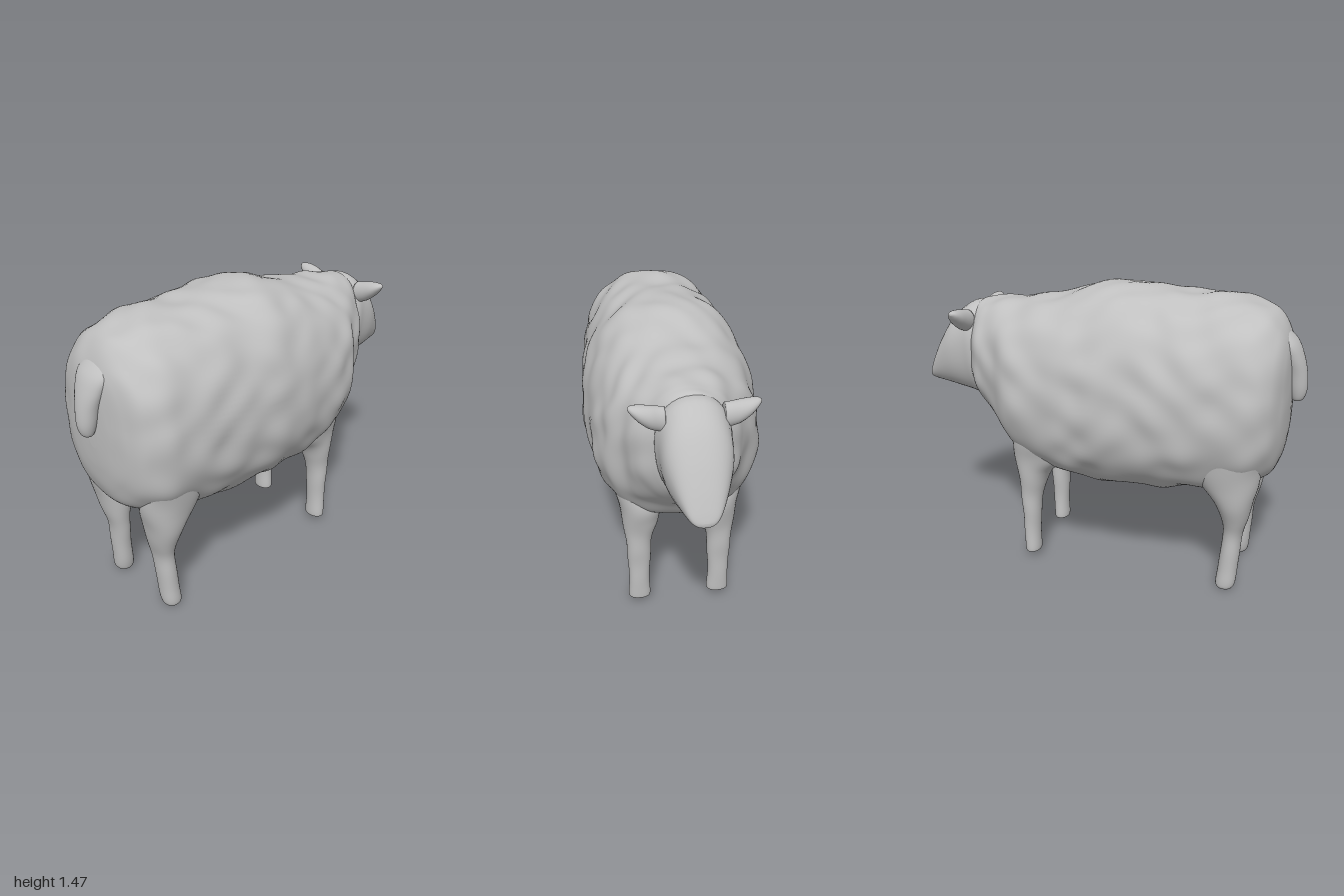
import * as THREE from 'three';

const wool = new THREE.MeshStandardMaterial({ color: 0xc0c0c0 });
wool.name = 'pale grey';

// Catmull-Rom interpolation of rows of numbers
function sample(keys, t) {
  const n = keys.length - 1, i = Math.min(Math.floor(t * n), n - 1), f = t * n - i;
  const at = (k) => keys[Math.max(0, Math.min(n, k))];
  const [a, b, c, d] = [at(i - 1), at(i), at(i + 1), at(i + 2)];
  return b.map((v, k) => v + 0.5 * f * (c[k] - a[k]
    + f * (2 * a[k] - 5 * v + 4 * c[k] - d[k] + f * (3 * (v - c[k]) + d[k] - a[k]))));
}

// Soft round fleece clumps
function clumps(x, y, z) {
  const s = Math.sin;
  return 0.5 * s(x * 19 + 1.4 * s(y * 9) + 0.5) * s(y * 22 + 1.3 * s(x * 7) + 0.6)
    + 0.5 * s(x * 21 + 1.4 * s(z * 10 + 1)) * s(z * 20 + 1.2 * s(x * 8) + 1.4)
    + 0.25 * s(y * 29 + 1.2 * s(x * 13 + 2)) * s(z * 27 + 1.5 * s(x * 11));
}

// Skin over cross-sections. Each key: [position on axis, u min, u max, v min, v max]
// where (u, v) is (z, y) for axis x, (x, z) for axis y and (y, x) for axis z.
function loft(keys, { axis, rings = 40, sides = 32, power = 2, egg = 0, bump = 0, mirror = false }) {
  const pos = [], index = [], flip = mirror ? -1 : 1;
  const place = { x: (a, u, v) => [a, v, u], y: (a, u, v) => [u, a, v], z: (a, u, v) => [v, u, a] }[axis];
  const add = (a, u, v) => {
    const p = place(a, u, v);
    pos.push(p[0], p[1], p[2] * flip);
  };
  const tri = (a, b, c) => (mirror ? index.push(a, c, b) : index.push(a, b, c));
  const bend = (c) => Math.sign(c) * Math.abs(c) ** (2 / power);
  for (let i = 0; i <= rings; i++) {
    const [a, u0, u1, v0, v1] = sample(keys, i / rings);
    for (let j = 0; j < sides; j++) {
      const angle = (j / sides) * Math.PI * 2;
      const c = bend(Math.cos(angle)), s = bend(Math.sin(angle));
      let du = c * (u1 - u0) / 2 * (1 + egg * s), dv = s * (v1 - v0) / 2;
      const u = (u0 + u1) / 2, v = (v0 + v1) / 2, r = Math.hypot(du, dv) || 1;
      const k = 1 + bump * clumps(...place(a, u + du, v + dv)) / Math.max(r, 0.05);
      du *= k;
      dv *= k;
      add(a, u + du, v + dv);
    }
  }
  for (let i = 0; i < rings; i++) {
    for (let j = 0; j < sides; j++) {
      const a = i * sides + j, b = i * sides + (j + 1) % sides;
      tri(a, a + sides, b);
      tri(b, a + sides, b + sides);
    }
  }
  // end caps
  const first = (rings + 1) * sides, last = rings * sides;
  for (const k of [keys[0], keys[keys.length - 1]]) add(k[0], (k[1] + k[2]) / 2, (k[3] + k[4]) / 2);
  for (let j = 0; j < sides; j++) {
    const n = (j + 1) % sides;
    tri(first, j, n);
    tri(first + 1, last + n, last + j);
  }
  const g = new THREE.BufferGeometry();
  g.setAttribute('position', new THREE.Float32BufferAttribute(pos, 3));
  g.setIndex(index);
  g.computeVertexNormals();
  return g;
}

export function createModel() {
  const sheep = new THREE.Group();
  sheep.name = 'sheep';
  const part = (name, keys, options) => {
    const mesh = new THREE.Mesh(loft(keys, options), wool);
    mesh.name = name;
    sheep.add(mesh);
  };
  // symmetric section along x: position, half width, bottom, top
  const even = ([x, w, y0, y1]) => [x, -w, w, y0, y1];

  // fleece from rump to neck
  part('fleece', [
    [-0.934, 0.03, 0.9, 1.05], [-0.927, 0.12, 0.78, 1.17], [-0.908, 0.22, 0.68, 1.27], [-0.865, 0.31, 0.6, 1.355],
    [-0.77, 0.365, 0.54, 1.42], [-0.6, 0.387, 0.5, 1.45], [-0.35, 0.412, 0.47, 1.455], [-0.1, 0.423, 0.46, 1.475],
    [0.1, 0.415, 0.475, 1.435], [0.28, 0.393, 0.51, 1.39], [0.41, 0.355, 0.57, 1.37], [0.5, 0.29, 0.67, 1.36],
    [0.58, 0.25, 0.745, 1.345], [0.63, 0.22, 0.785, 1.34], [0.67, 0.175, 0.82, 1.335], [0.7, 0.14, 0.85, 1.31],
  ].map(even), { axis: 'x', rings: 180, sides: 128, power: 2.3, egg: -0.05, bump: 0.012 });

  // head, wide at the brow and blunt at the muzzle
  part('head', [
    [0.64, 0.155, 0.835, 1.325], [0.69, 0.165, 0.825, 1.33], [0.74, 0.157, 0.837, 1.315], [0.82, 0.147, 0.853, 1.25],
    [0.89, 0.12, 0.865, 1.15], [0.945, 0.09, 0.873, 1.045], [0.98, 0.064, 0.88, 0.965],
    [0.995, 0.04, 0.886, 0.925], [1.0, 0.012, 0.897, 0.909],
  ].map(even), { axis: 'x', rings: 48, sides: 40, power: 2.2, egg: 0.12 });

  // drooping tail, broad where it leaves the rump
  part('tail', [
    [0.96, -0.958, -0.946, -0.008, 0.008], [0.97, -0.985, -0.93, -0.03, 0.03], [1.02, -1.0, -0.91, -0.047, 0.047],
    [1.1, -0.995, -0.89, -0.062, 0.062], [1.18, -0.975, -0.87, -0.085, 0.085], [1.25, -0.942, -0.84, -0.1, 0.1],
    [1.31, -0.88, -0.82, -0.07, 0.07],
  ], { axis: 'y', rings: 30, sides: 32 });

  for (const mirror of [false, true]) {
    // legs flare upwards and sink gently into the flanks
    part('frontLeg', [
      [0.027, 0.325, 0.36, 0.175, 0.23], [0.032, 0.309, 0.374, 0.156, 0.25], [0.055, 0.3, 0.383, 0.147, 0.259],
      [0.2, 0.3, 0.39, 0.148, 0.258], [0.33, 0.29, 0.395, 0.142, 0.262], [0.42, 0.272, 0.405, 0.13, 0.272],
      [0.51, 0.225, 0.42, 0.1, 0.285], [0.59, 0.14, 0.432, 0.08, 0.302], [0.67, 0.13, 0.428, 0.12, 0.318],
      [0.75, 0.17, 0.41, 0.21, 0.325], [0.82, 0.23, 0.37, 0.27, 0.325],
    ], { axis: 'y', rings: 66, sides: 40, power: 2.1, bump: 0.006, mirror });

    part('hindLeg', [
      [0, -0.72, -0.675, 0.175, 0.215], [0.007, -0.738, -0.66, 0.157, 0.236], [0.035, -0.751, -0.652, 0.147, 0.245],
      [0.12, -0.757, -0.657, 0.135, 0.245], [0.27, -0.768, -0.675, 0.12, 0.24], [0.38, -0.79, -0.665, 0.105, 0.26],
      [0.48, -0.815, -0.62, 0.09, 0.295], [0.58, -0.835, -0.55, 0.085, 0.315], [0.67, -0.84, -0.52, 0.12, 0.328],
      [0.75, -0.82, -0.54, 0.22, 0.338], [0.82, -0.77, -0.6, 0.28, 0.335],
    ], { axis: 'y', rings: 66, sides: 40, power: 2.1, bump: 0.006, mirror });

    part('ear', [
      [0.125, 1.185, 1.3, 0.665, 0.745], [0.155, 1.195, 1.305, 0.667, 0.75], [0.19, 1.21, 1.313, 0.67, 0.757],
      [0.23, 1.24, 1.318, 0.675, 0.755], [0.26, 1.272, 1.318, 0.686, 0.742], [0.275, 1.292, 1.314, 0.7, 0.728],
      [0.28, 1.3, 1.308, 0.71, 0.72],
    ], { axis: 'z', rings: 24, sides: 24, mirror });
  }
  return sheep;
}
